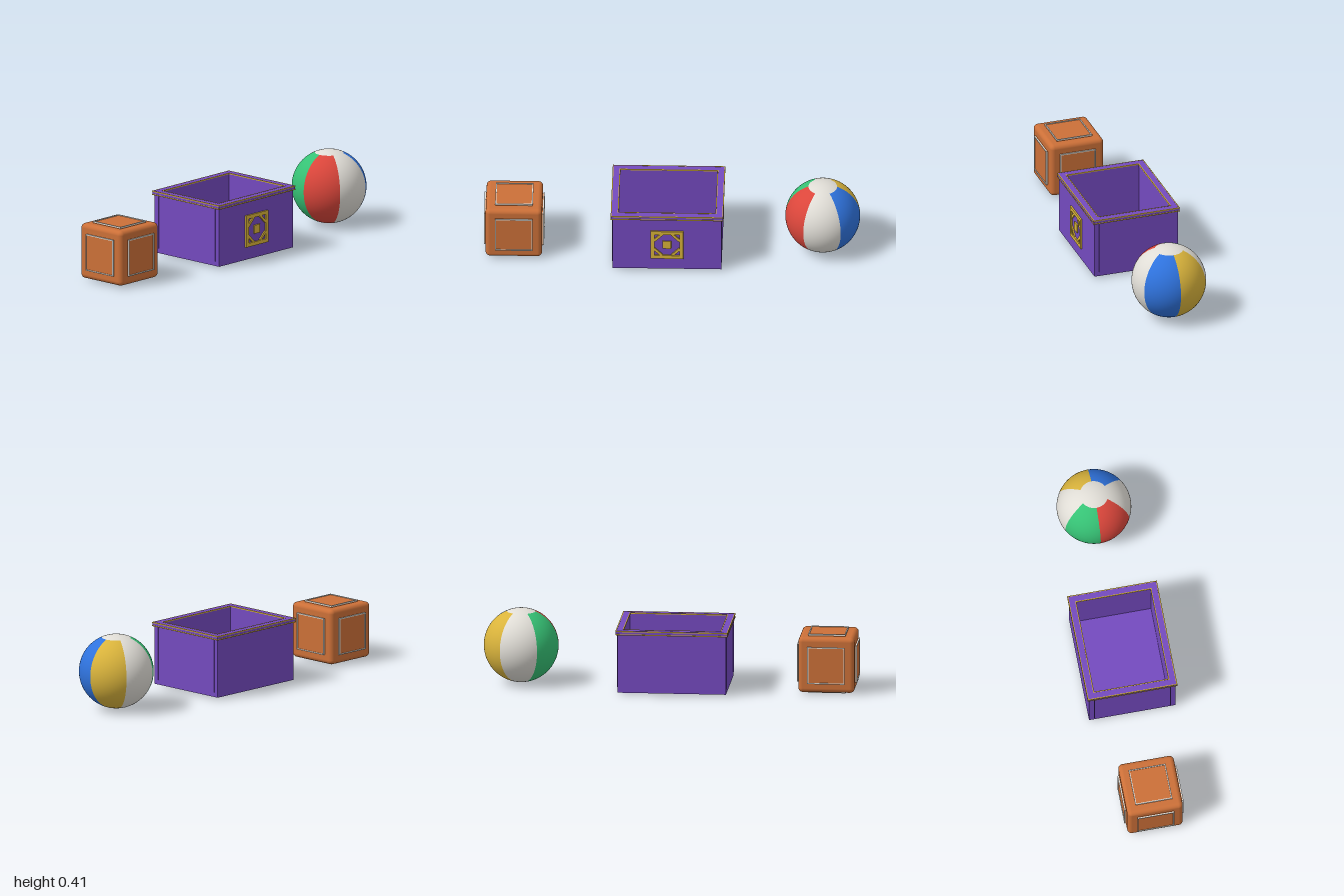
import * as THREE from 'three';
import { RoundedBoxGeometry } from 'three/addons/geometries/RoundedBoxGeometry.js';

const mat = (name, color) => {
  const m = new THREE.MeshStandardMaterial({ color });
  m.name = name;
  return m;
};

export function createModel() {
  const purple = mat('purple', 0x744abf);
  const gold = mat('gold', 0xd9b33a);
  const orange = mat('orange', 0xcc7038);
  const white = mat('white', 0xe0ddd6);
  const red = mat('red', 0xdb463b);
  const blue = mat('blue', 0x2f73de);
  const yellow = mat('yellow', 0xdab43c);
  const green = mat('green', 0x36c275);

  const model = new THREE.Group();
  model.name = 'toySet';

  const group = (name, x, y, z, parent = model) => {
    const g = new THREE.Group();
    g.name = name;
    g.position.set(x, y, z);
    parent.add(g);
    return g;
  };
  const add = (parent, name, geo, material, x = 0, y = 0, z = 0) => {
    const m = new THREE.Mesh(geo, material);
    m.name = name;
    m.position.set(x, y, z);
    parent.add(m);
    return m;
  };
  const box = (w, h, d) => new THREE.BoxGeometry(w, h, d);

  // Rectangular frame in the xy plane, extruded towards +z
  const frame = (w, h, band, depth) => {
    const rect = (target, a, b) => {
      target.moveTo(-a, -b);
      target.lineTo(a, -b);
      target.lineTo(a, b);
      target.lineTo(-a, b);
      target.closePath();
      return target;
    };
    const shape = rect(new THREE.Shape(), w / 2, h / 2);
    shape.holes.push(rect(new THREE.Path(), w / 2 - band, h / 2 - band));
    return new THREE.ExtrudeGeometry(shape, { depth, bevelEnabled: false });
  };
  // Same frame lying flat, rising towards +y
  const flatFrame = (w, d, band, height) => frame(w, d, band, height).rotateX(-Math.PI / 2);

  // Block with a framed panel on each face
  const block = group('block', -0.84, 0.16, 0);
  add(block, 'blockBody', new RoundedBoxGeometry(0.3, 0.3, 0.3, 4, 0.024), orange);
  const turns = [[0, 0], [0, 1], [0, 2], [0, 3], [1, 0], [-1, 0]];
  for (const [tx, ty] of turns) {
    const side = group('blockPanel', 0, 0, 0, block);
    side.rotation.set(tx * Math.PI / 2, ty * Math.PI / 2, 0);
    add(side, 'panel', box(0.198, 0.198, 0.008), orange, 0, 0, 0.152);
    add(side, 'panelTrim', frame(0.2, 0.2, 0.006, 0.007), white, 0, 0, 0.153);
  }

  // Open chest: walls and floor
  const chest = group('chest', -0.0225, 0, 0);
  add(chest, 'walls', flatFrame(0.58, 0.468, 0.03, 0.325), purple, 0, 0.01, 0);
  add(chest, 'floor', box(0.53, 0.03, 0.418), purple, 0, 0.0255, 0);

  // Rim with gold lines on its outer and inner edges
  add(chest, 'rim', flatFrame(0.596, 0.482, 0.038, 0.021), purple, 0, 0.326, 0);
  for (const y of [0.325, 0.342]) {
    add(chest, 'outerTrim', flatFrame(0.599, 0.485, 0.005, 0.0055), gold, 0, y, 0);
  }
  add(chest, 'innerTrim', flatFrame(0.526, 0.412, 0.005, 0.006), gold, 0, 0.342, 0);

  // Slim upright strips near the corners of the two ends
  for (const sx of [-1, 1]) {
    for (const sz of [-1, 1]) {
      add(chest, 'endStrip', box(0.005, 0.29, 0.005), purple, sx * 0.291, 0.18, sz * 0.206);
    }
  }

  // Gold emblem on the front
  const emblem = group('emblem', 0, 0.166, 0.234, chest);
  add(emblem, 'emblemFrame', frame(0.174, 0.174, 0.02, 0.009), gold);
  add(emblem, 'emblemCentre', box(0.046, 0.046, 0.008), gold, 0, 0, 0.004);
  for (const sx of [-1, 1]) {
    for (const sy of [-1, 1]) {
      const bar = add(emblem, 'emblemCorner', box(0.06, 0.014, 0.008), gold, sx * 0.047, sy * 0.047, 0.004);
      bar.rotation.z = -sx * sy * Math.PI / 4;
    }
  }

  // Ball: six coloured segments and two white caps
  const ball = group('ball', 0.801, 0.208, 0);
  const radius = 0.199;
  const cap = Math.PI / 8;
  [red, white, blue, yellow, white, green].forEach((m, i) => {
    const geo = new THREE.SphereGeometry(radius, 12, 32, i * Math.PI / 3, Math.PI / 3, cap, Math.PI - 2 * cap);
    add(ball, 'ballSegment', geo, m);
  });
  for (const start of [0, Math.PI - cap]) {
    add(ball, 'ballCap', new THREE.SphereGeometry(radius, 72, 8, 0, Math.PI * 2, start, cap), white);
  }

  return model;
}
